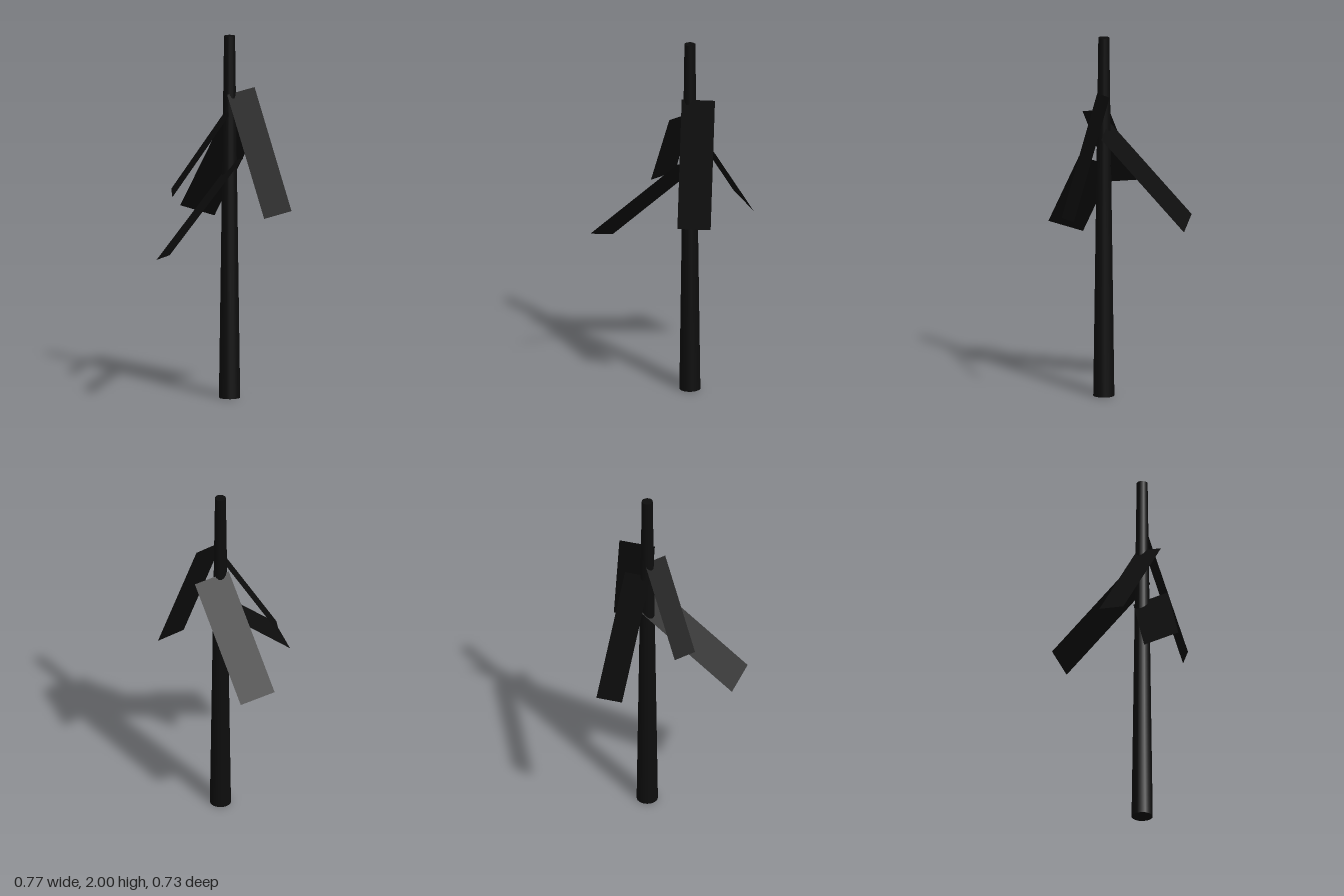
import * as THREE from 'three';

export function createModel() {
  const model = new THREE.Group();
  const black = new THREE.MeshStandardMaterial({ color: 0x0d0d0d });
  black.name = 'charred trunk';
  const blackCard = new THREE.MeshStandardMaterial({ color: 0x0d0d0d, side: THREE.DoubleSide });
  blackCard.name = 'charred branch';

  // Tapered trunk
  const trunk = new THREE.Mesh(new THREE.CylinderGeometry(0.03, 0.058, 2, 16), black);
  trunk.name = 'trunk';
  trunk.position.set(0.1, 1, 0.12);
  model.add(trunk);

  // Flat branch card: one upper corner, the edge across, and the edge running down and outward
  function addBranch(name, corner, across, along) {
    const c = new THREE.Vector3(...corner);
    const u = new THREE.Vector3(...across);
    const v = new THREE.Vector3(...along);
    const centre = c.clone().addScaledVector(u, 0.5).addScaledVector(v, 0.5);
    const geometry = new THREE.PlaneGeometry(u.length(), v.length());
    const right = u.clone().normalize();
    const normal = u.clone().cross(v).negate().normalize();
    const up = normal.clone().cross(right);
    const branch = new THREE.Mesh(geometry, blackCard);
    branch.name = name;
    branch.quaternion.setFromRotationMatrix(new THREE.Matrix4().makeBasis(right, up, normal));
    branch.position.copy(centre);
    model.add(branch);
  }

  addBranch('frontBranch', [0.06, 1.68, 0.155], [0.19, 0.02, -0.045], [0.137, -0.66, 0.205]);
  addBranch('lowRightBranch', [0.115, 1.345, 0.256], [0.015, -0.058, -0.188], [-0.505, -0.478, 0.11]);
  addBranch('backBranch', [0.251, 1.46, 0.153], [-0.177, 0.06, -0.063], [-0.034, -0.53, -0.46]);
  addBranch('smallRightBranch', [0.041, 1.578, 0.226], [0.063, 0.02, -0.137], [-0.254, -0.458, -0.176]);

  return model;
}
